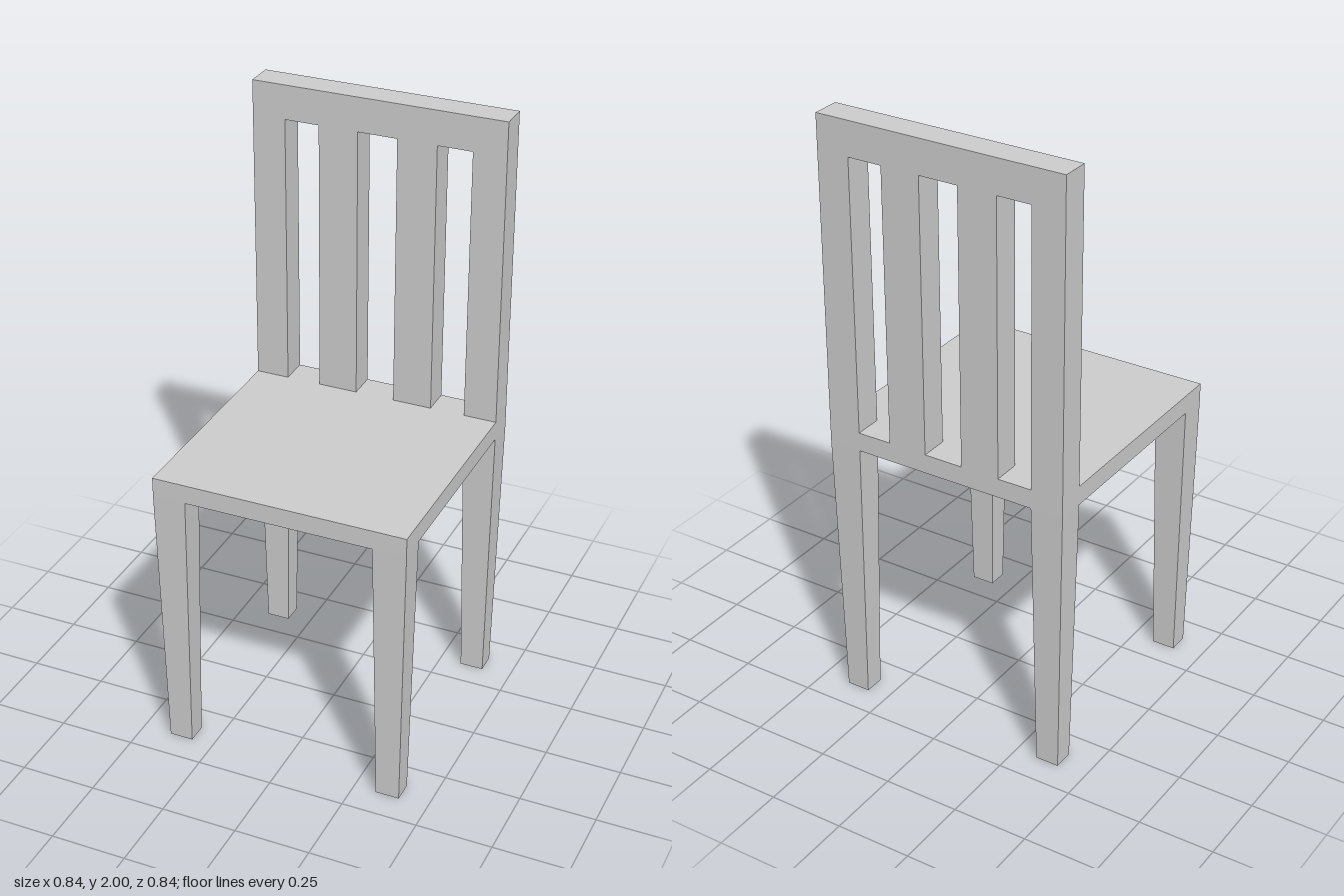
import * as THREE from 'three';

const HALF = 0.418;      // half width and depth of the seat
const SEAT_BOTTOM = 0.919;
const SEAT_TOP = 0.982;
const TOP = 2;
const BACK_DEPTH = 0.094;

const material = new THREE.MeshStandardMaterial({ color: 0xcccccc, flatShading: true });

function addMesh(parent, name, geometry, x, y, z) {
  const mesh = new THREE.Mesh(geometry, material);
  mesh.name = name;
  mesh.position.set(x, y, z);
  parent.add(mesh);
  return mesh;
}

// Square-cut leg that narrows evenly towards the foot
function taperedLeg(topW, topD, footW, footD, height) {
  const geometry = new THREE.BoxGeometry(topW, height, topD);
  const p = geometry.attributes.position;
  for (let i = 0; i < p.count; i++) {
    if (p.getY(i) < 0) {
      p.setX(i, p.getX(i) * footW / topW);
      p.setZ(i, p.getZ(i) * footD / topD);
    }
  }
  geometry.computeVertexNormals();
  return geometry;
}

// Comb outline: a top rail with two outer posts and two slats reaching the seat
function backrestGeometry() {
  const rail = 1.887;
  const gaps = [[0.309, 0.195], [0.065, -0.065], [-0.195, -0.309]];
  const shape = new THREE.Shape();
  shape.moveTo(-HALF, TOP);
  shape.lineTo(-HALF, SEAT_TOP);
  for (const [b, a] of gaps.reverse()) {
    shape.lineTo(a, SEAT_TOP);
    shape.lineTo(a, rail);
    shape.lineTo(b, rail);
    shape.lineTo(b, SEAT_TOP);
  }
  shape.lineTo(HALF, SEAT_TOP);
  shape.lineTo(HALF, TOP);
  shape.closePath();
  return new THREE.ExtrudeGeometry(shape, { depth: BACK_DEPTH, bevelEnabled: false });
}

export function createModel() {
  const chair = new THREE.Group();
  chair.name = 'chair';

  // Seat slab
  const thickness = SEAT_TOP - SEAT_BOTTOM;
  addMesh(chair, 'seat', new THREE.BoxGeometry(2 * HALF, thickness, 2 * HALF),
    0, SEAT_BOTTOM + thickness / 2, 0);

  // Slatted backrest, flush with the rear of the seat
  addMesh(chair, 'backrest', backrestGeometry(), 0, 0, -HALF);

  // Four tapered legs, flush with the seat corners
  const legW = 0.109, legD = BACK_DEPTH;
  const leg = taperedLeg(legW, legD, 0.078, 0.068, SEAT_BOTTOM);
  for (const [front, sz] of [['front', 1], ['back', -1]]) {
    for (const [side, sx] of [['Left', 1], ['Right', -1]]) {
      addMesh(chair, front + side + 'Leg', leg,
        sx * (HALF - legW / 2), SEAT_BOTTOM / 2, sz * (HALF - legD / 2));
    }
  }
  return chair;
}
